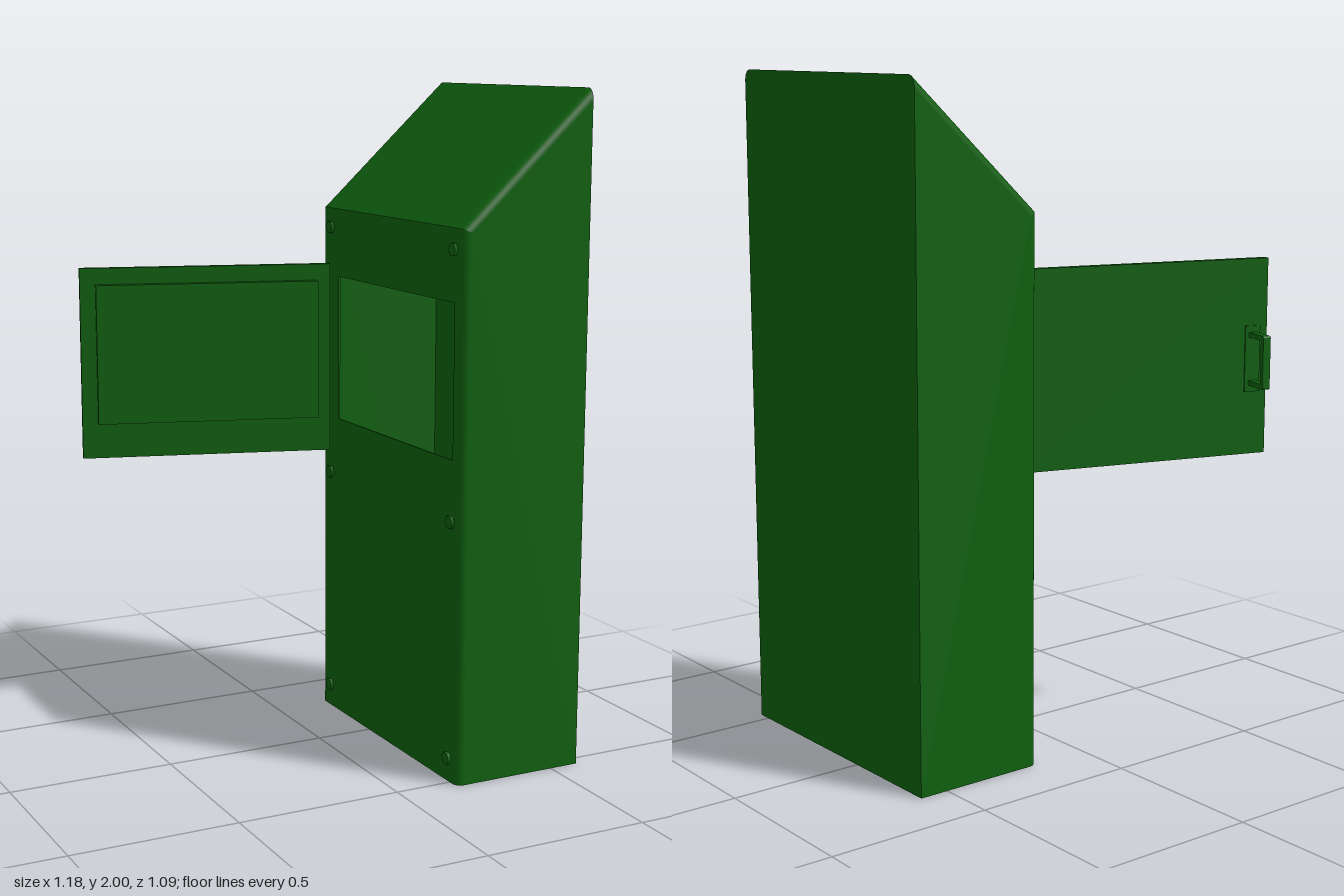
import * as THREE from 'three';

const paint = new THREE.MeshStandardMaterial({ color: 0x0e600e });
const sheet = new THREE.MeshStandardMaterial({ color: 0x0e600e, side: THREE.DoubleSide });

// Cabinet limits
const X0 = 0.175, X1 = 0.59, Z0 = -0.325, Z1 = 0.54, KNEE = 1.62, TOP = 2, R = 0.025;
const slope = (TOP - KNEE) / (X1 - X0);
const drop = Math.hypot(1, slope);

// Corners of the side profile, set in by n from the outer faces
const foot = (n) => [X0 + n, 0];
const knee = (n) => [X0 + n, KNEE + slope * n - drop * n];
const peak = (n) => [X1, TOP - drop * n];

function add(parent, name, geometry, material = paint) {
  const mesh = new THREE.Mesh(geometry, material);
  mesh.name = name;
  parent.add(mesh);
  return mesh;
}

function box(parent, name, x0, x1, y0, y1, z0, z1) {
  const m = add(parent, name, new THREE.BoxGeometry(x1 - x0, y1 - y0, z1 - z0));
  m.position.set((x0 + x1) / 2, (y0 + y1) / 2, (z0 + z1) / 2);
  return m;
}

function rect(path, x0, x1, y0, y1) {
  path.moveTo(x0, y0).lineTo(x1, y0).lineTo(x1, y1).lineTo(x0, y1).closePath();
  return path;
}

// Ruled surface between two ends, swept across a section of [z, inset] pairs
function ruled(section, endA, endB) {
  const pos = [], index = [];
  section.forEach(([z, n], i) => {
    const a = endA(n), b = endB(n);
    pos.push(a[0], a[1], z, b[0], b[1], z);
    if (i) {
      const k = 2 * i;
      index.push(k - 2, k, k - 1, k, k + 1, k - 1);
    }
  });
  const g = new THREE.BufferGeometry();
  g.setAttribute('position', new THREE.Float32BufferAttribute(pos, 3));
  g.setIndex(index);
  g.computeVertexNormals();
  return g;
}

// Rounded fold at one z edge; dir is the outward z direction
function fold(zEdge, dir) {
  const pts = [];
  for (let i = 0; i <= 8; i++) {
    const a = (i / 8) * Math.PI / 2;
    pts.push([zEdge - dir * R * (1 - Math.sin(a)), R * (1 - Math.cos(a))]);
  }
  return dir > 0 ? pts : pts.reverse();
}

function buildCabinet() {
  const g = new THREE.Group();
  g.name = 'cabinet';

  // Door wall with its opening
  const wall = rect(new THREE.Shape(), Z0 + R, Z1 - R, 0, KNEE);
  wall.holes.push(rect(new THREE.Path(), -0.215, 0.492, 0.96, 1.41));
  const wallGeo = new THREE.ExtrudeGeometry(wall, { depth: 0.006, bevelEnabled: false });
  wallGeo.rotateY(-Math.PI / 2);
  add(g, 'doorWall', wallGeo, sheet).position.x = X0 + 0.006;

  // Sloping roof and rounded folds
  add(g, 'slopingRoof', ruled([[Z0 + R, 0], [Z1 - R, 0]], knee, peak), sheet);
  for (const [z, dir] of [[Z0, -1], [Z1, 1]]) {
    add(g, 'wallFold', ruled(fold(z, dir), foot, knee), sheet);
    add(g, 'roofFold', ruled(fold(z, dir), knee, peak), sheet);
  }

  // Side walls
  const side = new THREE.Shape([[X1, 0], peak(R), knee(R), foot(R)]
    .map(([x, y]) => new THREE.Vector2(x, y)));
  for (const z of [Z0, Z1]) {
    const geo = new THREE.ShapeGeometry(side);
    if (z === Z0) geo.rotateY(Math.PI).scale(-1, 1, 1);
    if (z === Z0) geo.computeVertexNormals();
    add(g, 'sideWall', geo, sheet).position.z = z;
  }

  // Tall wall, its top corners following the roof folds
  const outline = [[Z0, 0], ...fold(Z0, -1).reverse().map(([z, n]) => [z, peak(n)[1]]),
    ...fold(Z1, 1).map(([z, n]) => [z, peak(n)[1]]).reverse(), [Z1, 0]];
  outline.sort((a, b) => a[0] - b[0] || (a[0] < 0 ? a[1] - b[1] : b[1] - a[1]));
  const tall = new THREE.ShapeGeometry(
    new THREE.Shape(outline.map(([z, y]) => new THREE.Vector2(-z, y))));
  tall.rotateY(Math.PI / 2);
  add(g, 'tallWall', tall, sheet).position.x = X1;

  // Fixing bolts through the door wall
  for (const y of [0.07, 0.78, 1.56]) {
    for (const z of [-0.265, 0.487]) {
      const bolt = add(g, 'bolt', new THREE.CylinderGeometry(0.02, 0.02, 0.022, 6));
      bolt.rotation.z = Math.PI / 2;
      bolt.position.set(0.177, y, z);
    }
  }

  // Housing fixed inside the cabinet
  box(g, 'innerHousing', 0.264, 0.508, 0.95, 1.3, 0.468, 0.538);
  return g;
}

function buildDoor() {
  const g = new THREE.Group();
  g.name = 'door';
  g.position.set(0.155, 0, -0.24);
  g.rotation.y = -0.286;
  box(g, 'doorPanel', -0.776, 0, 0.86, 1.45, -0.012, 0.012);
  box(g, 'doorPlug', -0.728, -0.042, 0.97, 1.4, 0.012, 0.038);
  box(g, 'handlePlate', -0.752, -0.703, 1.05, 1.25, -0.016, -0.012);

  // Flat bow handle, drawn in the y-z plane and extruded along x
  const bow = new THREE.Shape();
  bow.moveTo(0.012, 1.07).lineTo(0.098, 1.07).quadraticCurveTo(0.104, 1.07, 0.104, 1.076)
    .lineTo(0.104, 1.224).quadraticCurveTo(0.104, 1.23, 0.098, 1.23).lineTo(0.012, 1.23)
    .lineTo(0.012, 1.215).lineTo(0.088, 1.215).lineTo(0.088, 1.085).lineTo(0.012, 1.085)
    .closePath();
  const geo = new THREE.ExtrudeGeometry(bow, { depth: 0.024, bevelEnabled: false });
  geo.rotateY(Math.PI / 2);
  add(g, 'handle', geo).position.x = -0.739;
  return g;
}

export function createModel() {
  const model = new THREE.Group();
  model.name = 'cabinetWithOpenDoor';
  model.add(buildCabinet(), buildDoor());
  return model;
}
